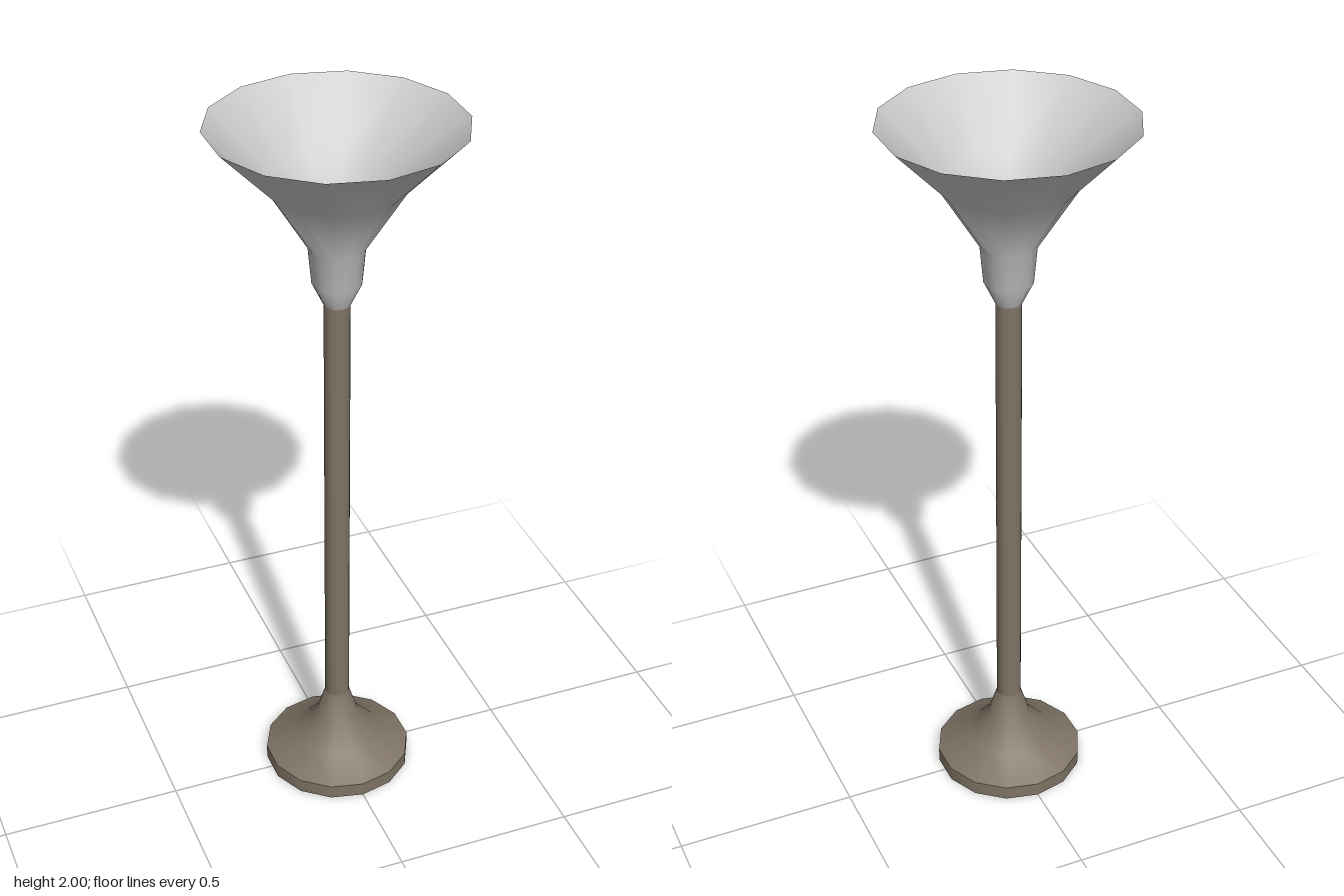
import * as THREE from 'three';
import { toCreasedNormals } from 'three/addons/utils/BufferGeometryUtils.js';

const SIDES = 14;

const grey = new THREE.MeshStandardMaterial({ color: 0xcccccc, side: THREE.DoubleSide });
const bronze = new THREE.MeshStandardMaterial({ color: 0x7f7465 });

// Turned part from [radius, height] pairs, listed bottom to top
function turned(name, profile, material) {
  const points = profile.map(([r, y]) => new THREE.Vector2(r, y));
  const geometry = toCreasedNormals(new THREE.LatheGeometry(points, SIDES), 0.65);
  const mesh = new THREE.Mesh(geometry, material);
  mesh.name = name;
  return mesh;
}

export function createModel() {
  const lamp = new THREE.Group();
  lamp.name = 'floorLamp';

  lamp.add(
    // Closed underside of the foot
    turned('underside', [[0, 0], [0.208, 0]], grey),
    // Foot with a short upright rim, sweeping up to the pole
    turned('foot', [[0.208, 0], [0.208, 0.04], [0.122, 0.085], [0.06, 0.155], [0.035, 0.235]], bronze),
    turned('pole', [[0.035, 0.235], [0.035, 1.505]], bronze),
    // Disc closing the pole inside the shade
    turned('poleCap', [[0.035, 1.505], [0, 1.505]], grey),
    // Thin open shade: narrow collar, then a wide flare
    turned('shade', [[0.035, 1.505], [0.066, 1.57], [0.075, 1.67], [0.18, 1.84], [0.333, 2]], grey)
  );

  return lamp;
}
